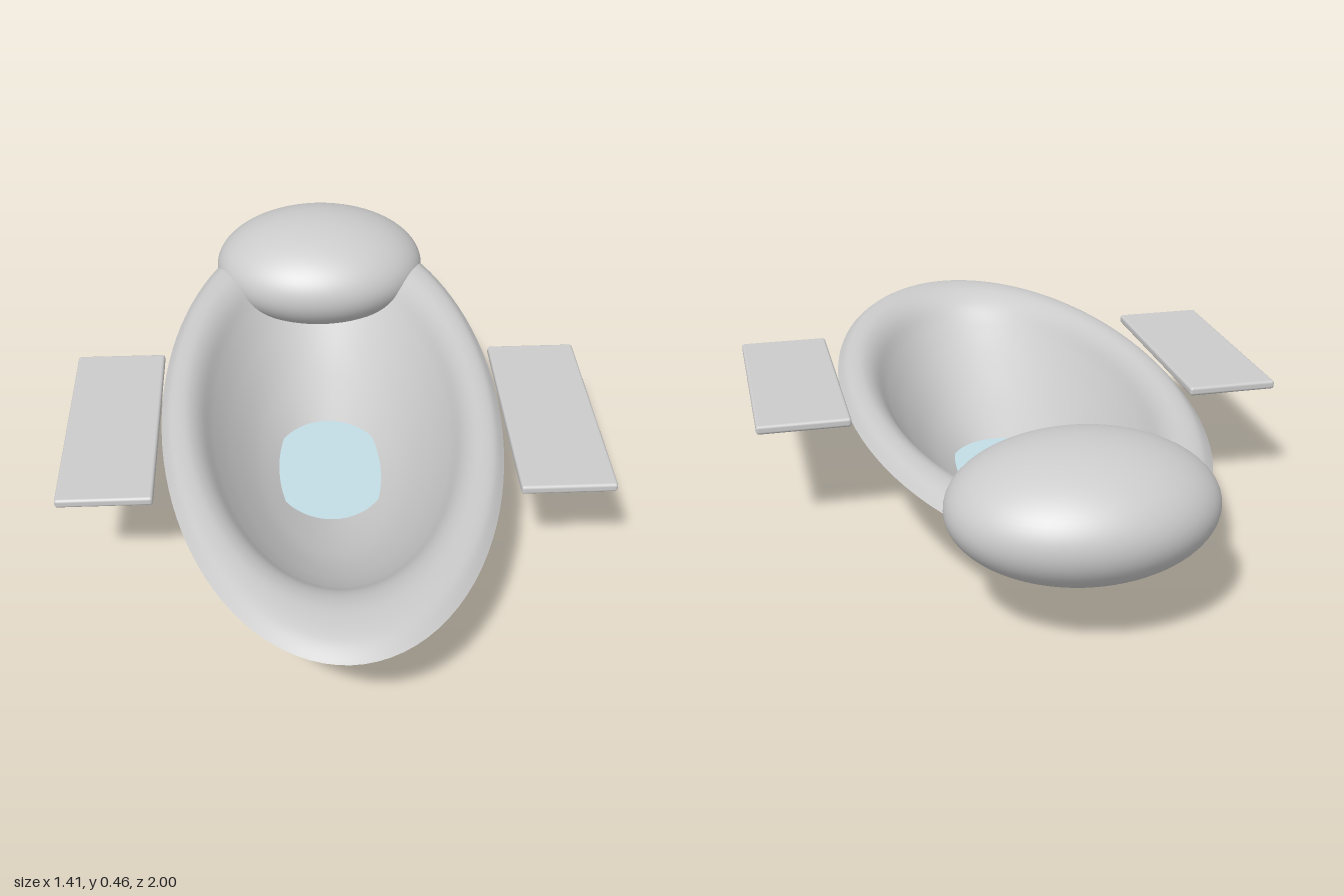
import * as THREE from 'three';
import { RoundedBoxGeometry } from 'three/addons/geometries/RoundedBoxGeometry.js';

export function createModel() {
  const group = new THREE.Group();
  const grey = new THREE.MeshStandardMaterial({ color: 0xcccccc });
  const shell = new THREE.MeshStandardMaterial({ color: 0xcccccc, side: THREE.DoubleSide });
  const blue = new THREE.MeshStandardMaterial({ color: 0xc3dde5, side: THREE.DoubleSide });

  function add(name, geometry, material, x = 0, y = 0, z = 0) {
    const mesh = new THREE.Mesh(geometry, material);
    mesh.name = name;
    mesh.position.set(x, y, z);
    group.add(mesh);
    return mesh;
  }

  // Thin oval shell: bowl, open at the bottom, rolling over into a drooping rim
  const bowl = new THREE.SplineCurve([
    [0.165, 0], [0.315, 0.05], [0.46, 0.108], [0.6, 0.183], [0.7, 0.248],
    [0.77, 0.3], [0.83, 0.324], [0.89, 0.33], [0.95, 0.323], [1, 0.3],
  ].map(([r, y]) => new THREE.Vector2(r, y)));
  const hull = new THREE.LatheGeometry(bowl.getPoints(60), 96);
  hull.scale(0.46, 1, 1);
  add('hull', hull, shell);

  // Flat oval window in the floor
  const floor = new THREE.CircleGeometry(1, 64);
  floor.rotateX(-Math.PI / 2);
  floor.scale(0.168, 1, 0.225);
  add('floorWindow', floor, blue, 0, 0.05, 0);

  // Headrest cushion over the back end
  const cushion = new THREE.SphereGeometry(1, 64, 40);
  cushion.scale(0.323, 0.16, 0.265);
  add('headrest', cushion, grey, 0, 0.3, -0.735);

  // Armrests on both sides
  for (const [name, side] of [['leftArmrest', 1], ['rightArmrest', -1]]) {
    add(name, new RoundedBoxGeometry(0.244, 0.024, 0.64, 3, 0.008), grey, side * 0.582, 0.318, 0.13);
  }

  return group;
}
